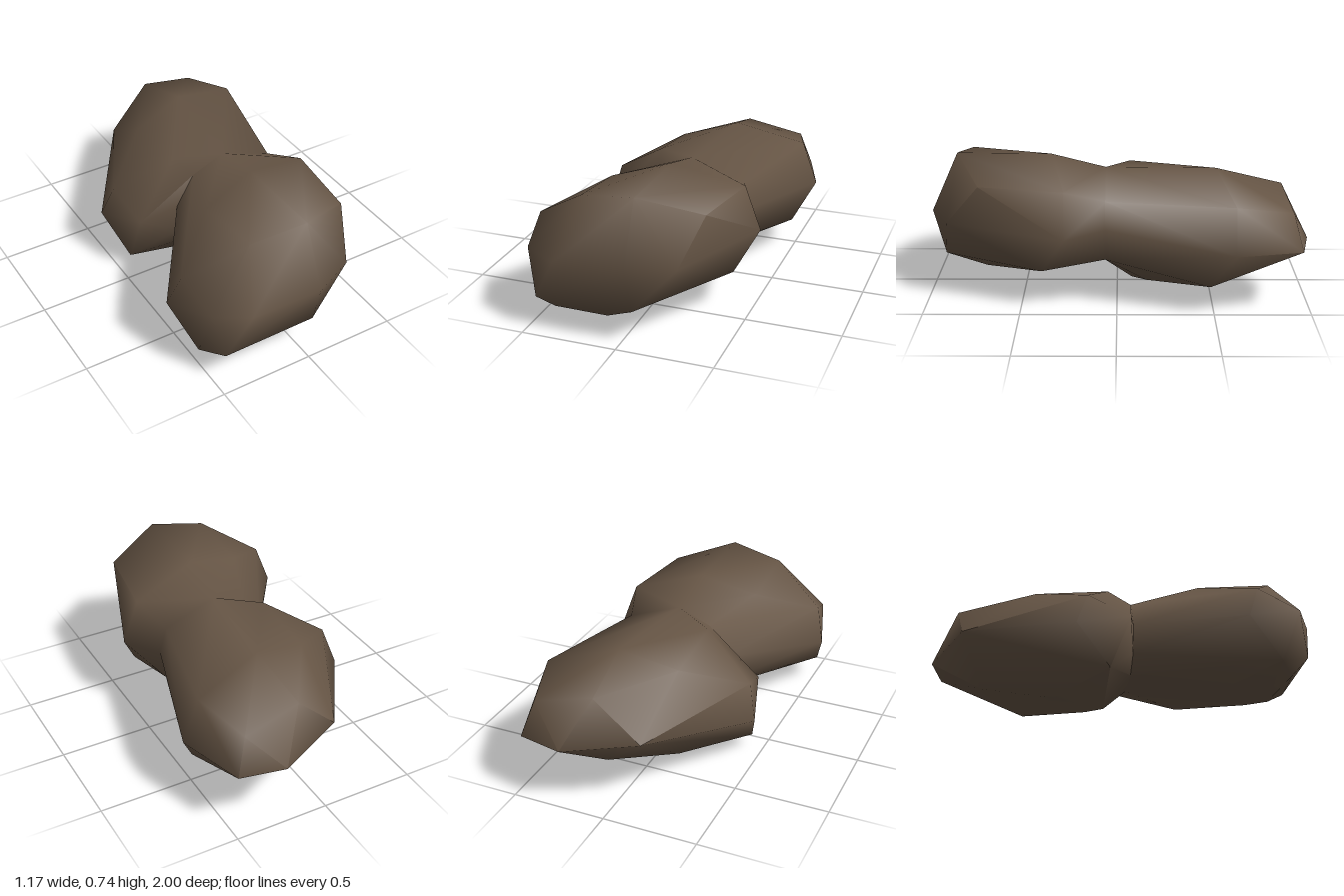
import * as THREE from 'three';
import { ConvexGeometry } from 'three/addons/geometries/ConvexGeometry.js';
import { mergeGeometries, toCreasedNormals } from 'three/addons/utils/BufferGeometryUtils.js';

// Corners that both lobes share, given at the front lobe
const lobe = [
  [0.05, 0.735, 0.35], [-0.245, 0.695, 0.8], [-0.25, 0.65, 0.41], [0.42, 0.63, 0.27],
  [-0.54, 0.51, 0.66], [-0.59, 0.33, 0.6], [-0.5, 0.42, 0.89],
  [0.505, 0.4, 0.27], [0.4, 0.2, 0.39], [-0.515, 0.125, 0.78], [-0.13, 0.055, 0.79],
  [-0.2, 0.075, 0.52], [0.04, 0.1, 0.71], [0.03, 0.2, 0.15],
];
const rearOffset = [0.08, -0.055, -0.87];

// Blunt front end and tapered rear end
const frontEnd = [
  [0.05, 0.74, 0.85], [0.36, 0.64, 0.71], [-0.33, 0.4, 0.975], [0.05, 0.42, 0.995],
  [0.28, 0.42, 0.89], [-0.45, 0.175, 0.93], [0.06, 0.18, 0.93], [-0.38, 0.1, 0.86],
];
const rearEnd = [
  [0.1, 0.59, -0.87], [0.41, 0.52, -0.9], [0.47, 0.33, -0.95],
  [0.23, 0.33, -1], [-0.135, 0.365, -0.84],
];

// Narrow ring where the lobes meet
const waistZ = 0.06;
const waist = [
  [-0.22, 0.42], [-0.12, 0.59], [0.06, 0.665], [0.35, 0.56], [0.39, 0.42],
  [0.36, 0.25], [0.1, 0.17], [-0.1, 0.18], [-0.2, 0.26],
].map(([x, y]) => [x, y, waistZ]);

// Hull of a lobe, left open at the waist
function openLobe(points) {
  const hull = new ConvexGeometry(points.map((p) => new THREE.Vector3(...p)));
  const position = hull.getAttribute('position');
  const kept = [];
  for (let i = 0; i < position.count; i += 3) {
    const corners = [i, i + 1, i + 2];
    if (corners.every((c) => Math.abs(position.getZ(c) - waistZ) < 1e-4)) continue;
    for (const c of corners) kept.push(position.getX(c), position.getY(c), position.getZ(c));
  }
  const geometry = new THREE.BufferGeometry();
  geometry.setAttribute('position', new THREE.Float32BufferAttribute(kept, 3));
  return geometry;
}

export function createModel() {
  const group = new THREE.Group();
  group.name = 'rock';

  const stone = new THREE.MeshStandardMaterial({ color: 0x665545 });
  stone.name = 'brown stone';

  // Both lobes joined into one smooth boulder
  const rearLobe = lobe.map((p) => p.map((v, i) => v + rearOffset[i]));
  const shell = mergeGeometries([
    openLobe([...lobe, ...frontEnd, ...waist]),
    openLobe([...rearLobe, ...rearEnd, ...waist]),
  ]);
  const boulder = new THREE.Mesh(toCreasedNormals(shell, 1.3), stone);
  boulder.name = 'boulder';
  group.add(boulder);
  return group;
}
